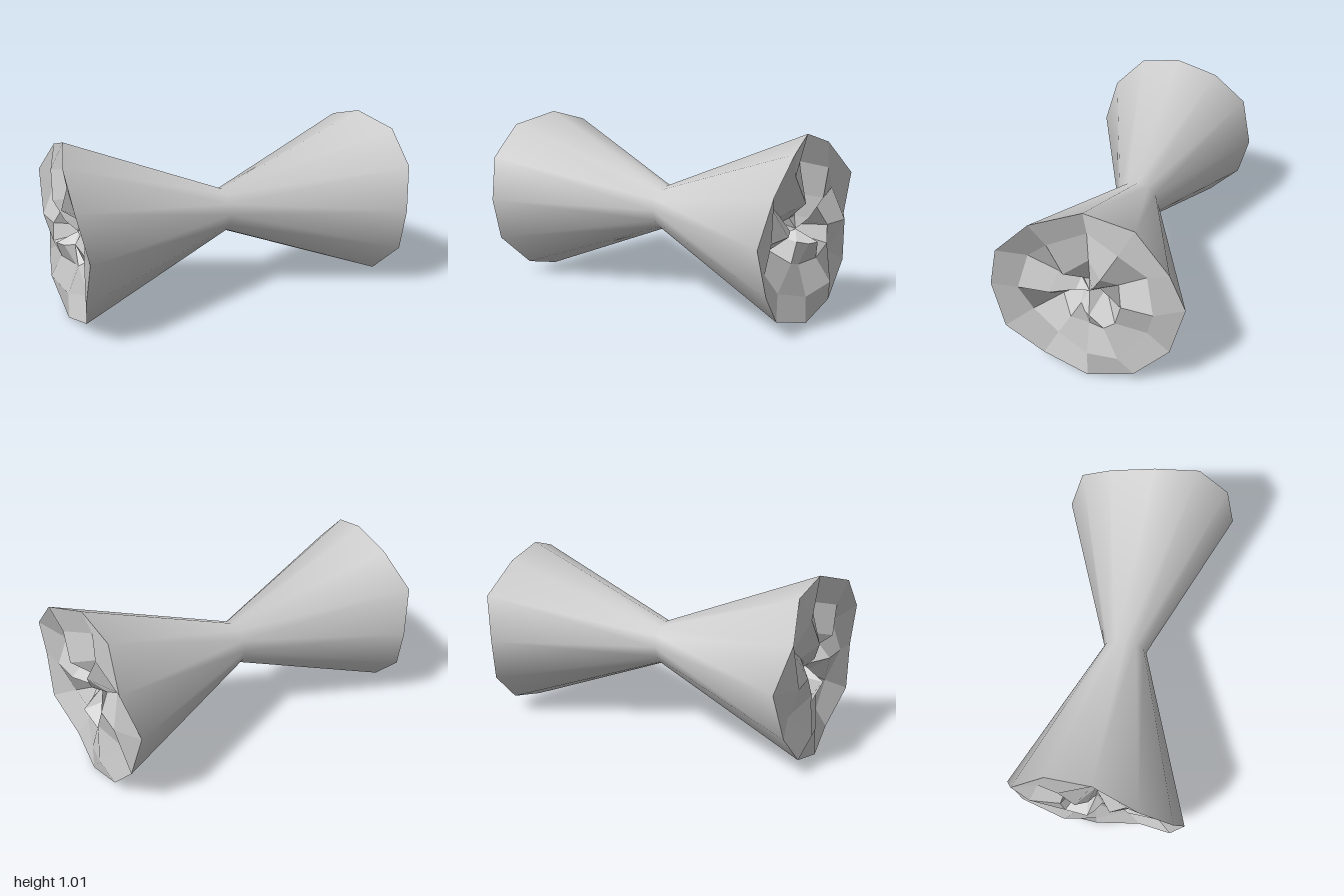
import * as THREE from 'three';

const SIDES = 12, AXIS_Y = 0.505;

// Distance from the middle at each spoke of the broken end, rim to centre
const RINGS = [
  { r: 0.505, x: [0.925, 1, 1, 0.955, 0.97, 0.92, 0.95, 0.945, 0.93, 0.89, 0.96, 0.91] },
  { r: 0.36, x: [0.88, 0.965, 0.9, 0.945, 0.88, 0.88, 0.945, 0.99, 0.9, 0.97, 0.91, 0.955] },
  { r: 0.19, x: [0.87, 0.98, 0.87, 0.94, 0.81, 0.905, 0.893, 0.945, 0.97, 0.955, 0.9, 0.975] },
  { r: 0.07, x: [0.86, 0.85, 0.81, 0.88, 0.79, 0.9, 0.95, 0.985, 0.78, 0.78, 0.88, 0.93] },
  { r: 0, x: Array(SIDES).fill(0.87) },
];
const WAIST = { r: 0.125, x: Array(SIDES).fill(0) };

const mirror = (ring) => ({ r: ring.r, x: ring.x.map((v) => -v) });

function ringPoint({ r, x }, k) {
  const t = (k / SIDES) * Math.PI * 2;
  return new THREE.Vector3(x[k], AXIS_Y + r * Math.cos(t), r * Math.sin(t));
}

// Smooth skin around the x axis
function smoothSkin(rings) {
  const points = [], index = [];
  rings.forEach((ring, i) => {
    for (let k = 0; k < SIDES; k++) {
      points.push(ringPoint(ring, k));
      if (i === rings.length - 1) continue;
      const a = i * SIDES + k, b = i * SIDES + (k + 1) % SIDES;
      index.push(a, b, b + SIDES, a, b + SIDES, a + SIDES);
    }
  });
  const geometry = new THREE.BufferGeometry().setFromPoints(points);
  geometry.setIndex(index);
  geometry.computeVertexNormals();
  return geometry;
}

// Chipped skin: every four-sided facet gets a single normal
function facetedSkin(rings) {
  const positions = [], normals = [];
  for (let i = 0; i < rings.length - 1; i++) {
    for (let k = 0; k < SIDES; k++) {
      const n = (k + 1) % SIDES;
      const a = ringPoint(rings[i], k), b = ringPoint(rings[i], n);
      const c = ringPoint(rings[i + 1], n), d = ringPoint(rings[i + 1], k);
      const normal = c.clone().sub(a).cross(d.clone().sub(b)).normalize();
      const corners = [];
      if (rings[i].r > 0) corners.push(a, b, c);
      if (rings[i + 1].r > 0) corners.push(a, c, d);
      for (const p of corners) {
        positions.push(p.x, p.y, p.z);
        normals.push(normal.x, normal.y, normal.z);
      }
    }
  }
  const geometry = new THREE.BufferGeometry();
  geometry.setAttribute('position', new THREE.Float32BufferAttribute(positions, 3));
  geometry.setAttribute('normal', new THREE.Float32BufferAttribute(normals, 3));
  return geometry;
}

export function createModel() {
  const group = new THREE.Group();
  group.name = 'pinchedColumn';
  const material = new THREE.MeshStandardMaterial({ color: 0xcccccc });

  const add = (name, geometry) => {
    const mesh = new THREE.Mesh(geometry, material);
    mesh.name = name;
    group.add(mesh);
  };

  // Two cones meeting at a narrow waist
  add('body', smoothSkin([mirror(RINGS[0]), WAIST, RINGS[0]]));
  // Rough broken ends, mirrored
  add('leftBrokenEnd', facetedSkin(RINGS));
  add('rightBrokenEnd', facetedSkin(RINGS.map(mirror).reverse()));
  return group;
}
